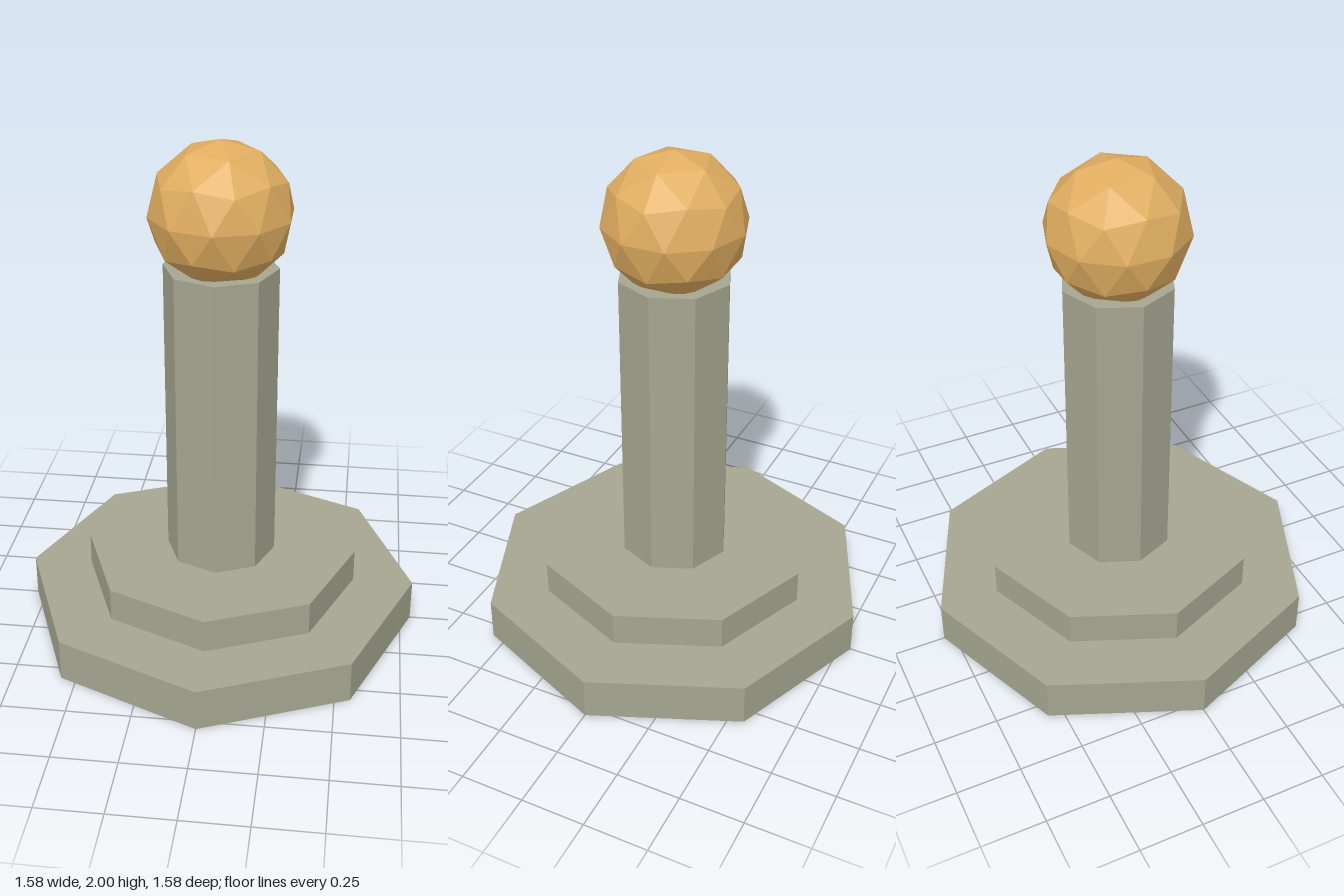
import * as THREE from 'three';

export function createModel() {
  const model = new THREE.Group();
  const stone = new THREE.MeshStandardMaterial({ color: 0xa5a590, flatShading: true });
  stone.name = 'stone';
  const gold = new THREE.MeshStandardMaterial({ color: 0xe0ad60, flatShading: true });
  gold.name = 'gold';

  function add(name, geometry, material) {
    const mesh = new THREE.Mesh(geometry, material);
    mesh.name = name;
    model.add(mesh);
    return mesh;
  }

  // Stacked octagonal prisms: name, radius, bottom, top
  const tiers = [
    ['lowerStep', 0.792, 0, 0.17],
    ['upperStep', 0.55, 0.17, 0.305],
    ['column', 0.22, 0.305, 1.52],
  ];
  for (const [name, radius, bottom, top] of tiers) {
    const prism = new THREE.CylinderGeometry(radius, radius, top - bottom, 8);
    add(name, prism, stone).position.y = (bottom + top) / 2;
  }

  // Faceted ball, turned so one of its five-fold corners points straight up
  const radius = 0.275;
  const ball = new THREE.IcosahedronGeometry(radius, 1);
  ball.rotateZ(-Math.atan2(1, (1 + Math.sqrt(5)) / 2));
  add('ball', ball, gold).position.y = 2 - radius;

  return model;
}
